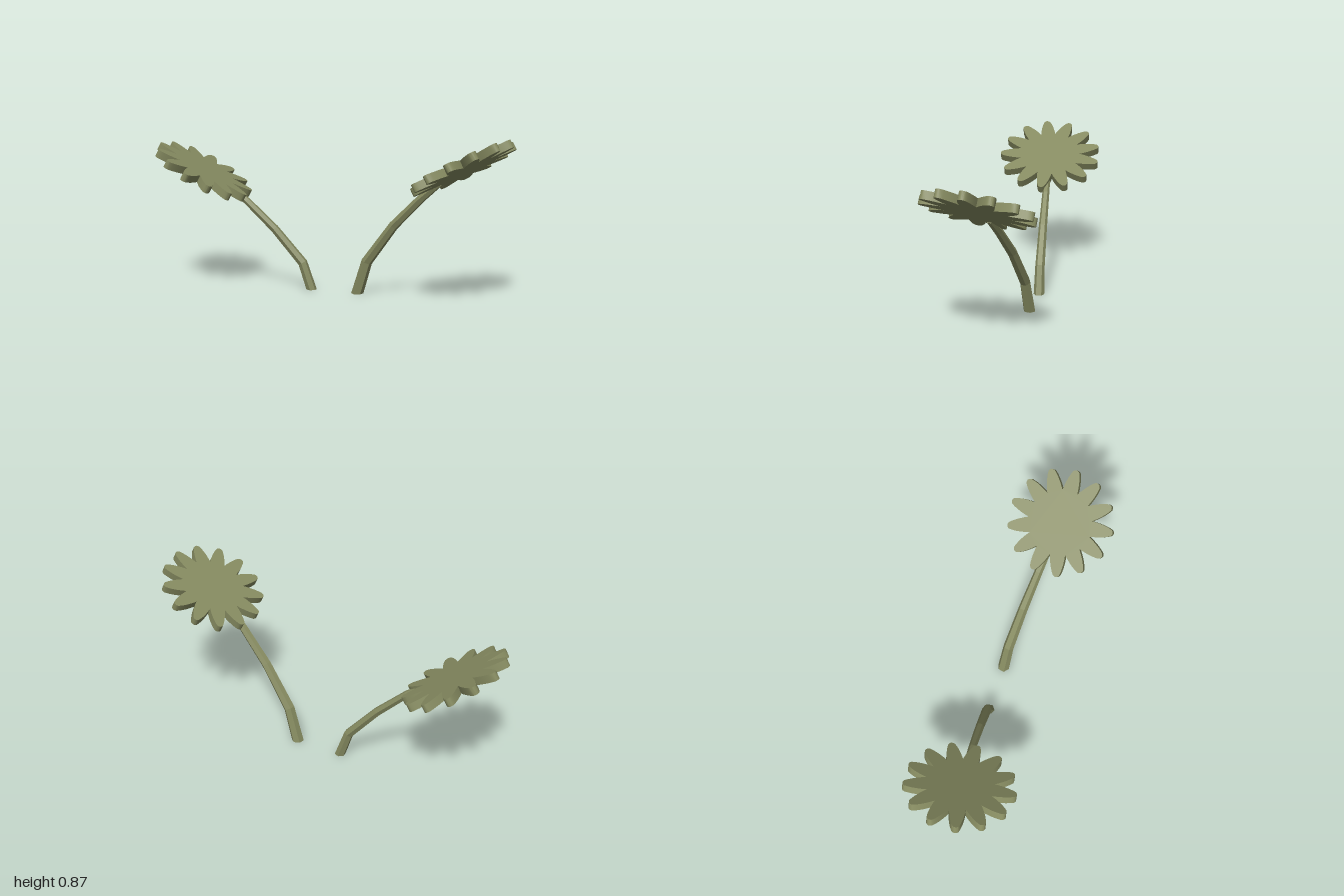
import * as THREE from 'three';
import { toCreasedNormals } from 'three/addons/utils/BufferGeometryUtils.js';

const PETALS = 13;
const TILT = THREE.MathUtils.degToRad(29);

// Flat daisy-like head with blunt petals and sharp notches, leaning up towards +x
function flowerGeometry() {
  const step = (Math.PI * 2) / PETALS;
  const phase = THREE.MathUtils.degToRad(186);
  const tip = 0.287, notch = 0.172;
  const at = (a, along, across) => [
    Math.cos(a) * along - Math.sin(a) * across,
    Math.sin(a) * along + Math.cos(a) * across,
  ];
  const shape = new THREE.Shape();
  shape.moveTo(...at(phase - step / 2, notch, 0));
  for (let i = 0; i < PETALS; i++) {
    const a = phase + i * step;
    shape.quadraticCurveTo(...at(a, 0.235, -0.036), ...at(a, 0.277, -0.017));
    shape.quadraticCurveTo(...at(a, tip + 0.008, 0), ...at(a, 0.277, 0.017));
    shape.quadraticCurveTo(...at(a, 0.235, 0.036), ...at(a + step / 2, notch, 0));
  }
  const depth = 0.043;
  const geo = new THREE.ExtrudeGeometry(shape, { depth, bevelEnabled: false, curveSegments: 5 });
  geo.translate(0, 0, -depth / 2).rotateX(Math.PI / 2).rotateZ(TILT);
  return toCreasedNormals(geo, 0.7);
}

// Tapering six-sided stem: a cylinder whose rings follow a bent path in the x-y plane
function stemGeometry(path, r0, r1) {
  const n = path.length - 1;
  const pts = path.map(([x, y]) => new THREE.Vector2(x, y));
  const dir = (i) => pts[i + 1].clone().sub(pts[i]).normalize();
  const geo = new THREE.CylinderGeometry(1, 1, 1, 6, n);
  const pos = geo.attributes.position;
  for (let v = 0; v < pos.count; v++) {
    const i = Math.round((pos.getY(v) + 0.5) * n);
    const r = r0 + ((r1 - r0) * i) / n;
    // The base ring lies flat on the ground; the others follow the bend
    const t = i === 0 ? new THREE.Vector2(0, 1)
      : i === n ? dir(n - 1)
      : dir(i - 1).add(dir(i)).normalize();
    const across = pos.getX(v) * r;
    pos.setXYZ(v, pts[i].x + t.y * across, pts[i].y - t.x * across, pos.getZ(v) * r);
  }
  geo.computeVertexNormals();
  return geo;
}

export function createModel() {
  const model = new THREE.Group();
  model.name = 'flowerPair';
  const petalMaterial = new THREE.MeshStandardMaterial({ color: 0x858a60 });
  const stemMaterial = new THREE.MeshStandardMaterial({ color: 0x858a60, flatShading: true });
  const headGeometry = flowerGeometry();

  function addPlant(name, base, turn, path, radii, head) {
    const plant = new THREE.Group();
    plant.name = name;
    const stem = new THREE.Mesh(stemGeometry(path, ...radii), stemMaterial);
    stem.name = 'stem';
    const flower = new THREE.Mesh(headGeometry, petalMaterial);
    flower.name = 'flowerHead';
    flower.position.set(head[0], head[1], 0);
    plant.add(stem, flower);
    plant.position.set(...base);
    plant.rotation.y = turn;
    model.add(plant);
  }

  addPlant('rightFlower', [-0.122, 0, -0.108], Math.PI,
    [[0, 0], [0.05, 0.145], [0.21, 0.325], [0.37, 0.472], [0.46, 0.535]],
    [0.029, 0.017], [0.623, 0.628]);
  addPlant('leftFlower', [0.143, 0, -0.084], -THREE.MathUtils.degToRad(17),
    [[0, 0], [0.06, 0.18], [0.225, 0.39], [0.39, 0.548], [0.49, 0.63]],
    [0.033, 0.019], [0.625, 0.715]);
  return model;
}
